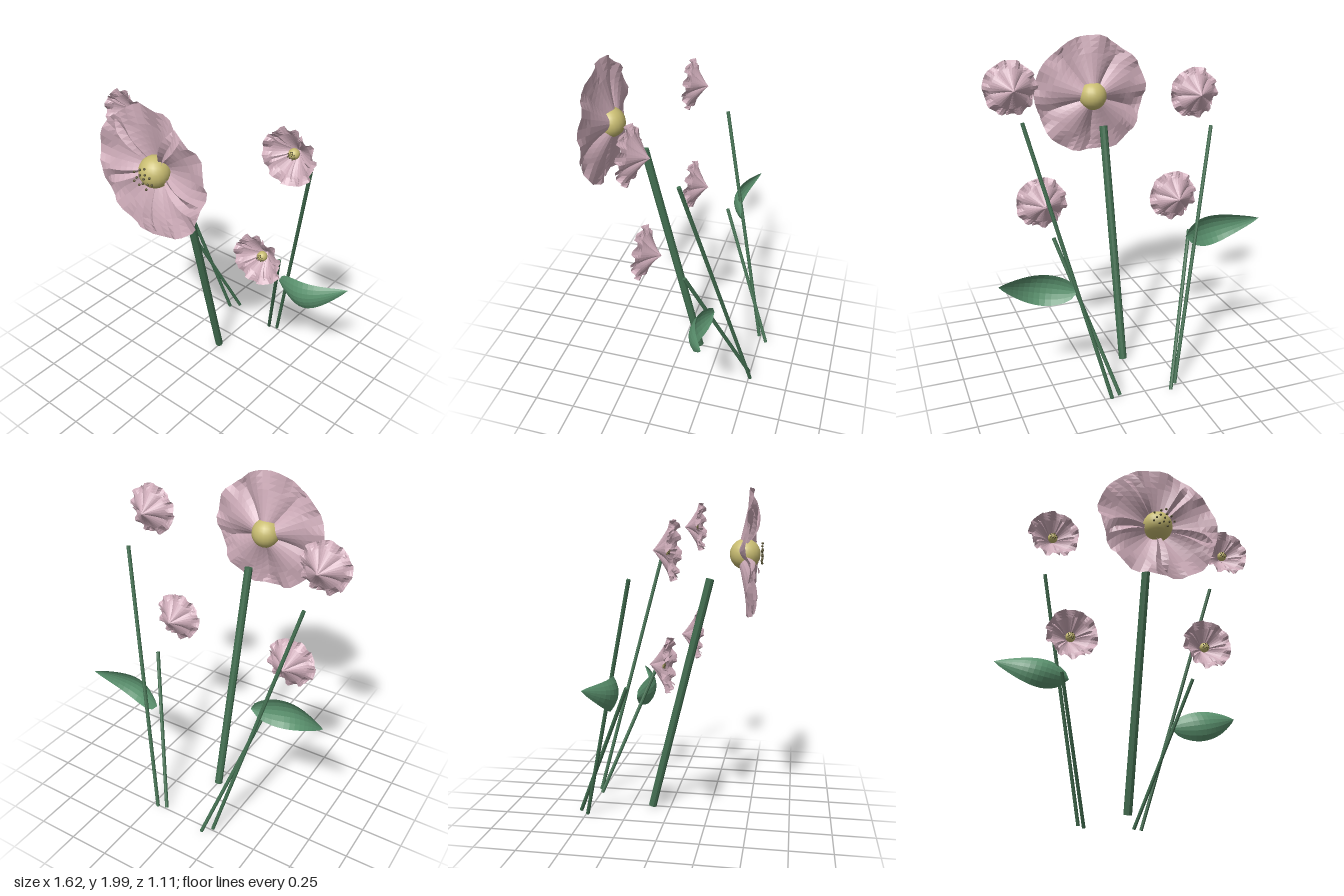
import * as THREE from 'three';

const mat = (color, extra = {}) => new THREE.MeshStandardMaterial({ color, ...extra });
const petalMat = mat(0xcfadba, { side: THREE.DoubleSide, flatShading: true });
const leafMat = mat(0x5c9470, { side: THREE.DoubleSide, flatShading: true });
const stemMat = mat(0x426e50, { flatShading: true });
const centreMat = mat(0xc9bd72);
const seedMat = mat(0x5c5636);

function add(parent, name, geometry, material, pos = [0, 0, 0]) {
  const mesh = new THREE.Mesh(geometry, material);
  mesh.name = name;
  mesh.position.set(...pos);
  parent.add(mesh);
  return mesh;
}

// Grid surface: fn(u in -1..1, v in 0..1) returns [x, y, z]
function surface(nu, nv, fn) {
  const pos = [], idx = [];
  for (let j = 0; j <= nv; j++)
    for (let i = 0; i <= nu; i++) pos.push(...fn((i / nu) * 2 - 1, j / nv));
  for (let j = 0; j < nv; j++)
    for (let i = 0; i < nu; i++) {
      const a = j * (nu + 1) + i, b = a + nu + 1;
      idx.push(a, a + 1, b, a + 1, b + 1, b);
    }
  const g = new THREE.BufferGeometry();
  g.setAttribute('position', new THREE.Float32BufferAttribute(pos, 3));
  g.setIndex(idx);
  g.computeVertexNormals();
  return g;
}

// Petal pointing up: a fan with edges cupped forward and a ruffled rim
function petalGeometry({ radius, depth, power, cup, ruffle, spread }) {
  return surface(10, 10, (u, v) => {
    const rim = Math.max(0, (v - 0.7) / 0.3);
    const wave = Math.sin(u * 8 + 0.6);
    const a = u * spread * (1 - 0.1 * rim) + rim * ruffle * 2 * wave;
    const r = radius * v * (1 - 0.07 * u * u * rim) - rim * ruffle * 0.3 * (1 + wave);
    const z = depth * v ** power + cup * u * u * Math.sin(Math.PI * Math.min(1, v * 0.9 + 0.02))
      + ruffle * rim * wave;
    return [r * Math.sin(a), r * Math.cos(a), z];
  });
}

// Five petals, a ball centre and a flat spiral of seeds in front of it
function flower(name, pos, petal, ball, ballZ, seedZ, seedR, turn) {
  const g = new THREE.Group();
  g.name = name;
  g.position.set(...pos);
  const geo = petalGeometry(petal);
  for (let i = 0; i < 5; i++) {
    const p = add(g, 'petal', geo, petalMat);
    p.rotation.z = turn + (i * Math.PI * 2) / 5;
  }
  add(g, 'flowerCentre', new THREE.SphereGeometry(ball, 20, 14), centreMat, [0, 0, ballZ]);
  const seedGeo = new THREE.SphereGeometry(seedR, 8, 6);
  for (let i = 0; i < 14; i++) {
    const r = ball * 0.8 * Math.sqrt((i + 0.3) / 14), a = i * 2.4;
    add(g, 'seed', seedGeo, seedMat, [r * Math.cos(a), r * Math.sin(a), seedZ]);
  }
  return g;
}

// Straight stem between two points
function stem(parent, name, from, to, radius, sides) {
  const a = new THREE.Vector3(...from), b = new THREE.Vector3(...to);
  const d = b.clone().sub(a);
  const m = add(parent, name, new THREE.CylinderGeometry(radius, radius, d.length(), sides), stemMat);
  m.position.copy(a).add(b).multiplyScalar(0.5);
  m.quaternion.setFromUnitVectors(new THREE.Vector3(0, 1, 0), d.normalize());
}

// Leaf arched forward along its length and across its width
function leaf(parent, name, base, tip, side) {
  const geo = surface(6, 14, (u, v) => {
    const w = 0.105 * Math.sin(Math.PI * v ** 0.8) ** 0.8 * (1 - 0.25 * v);
    const x = base[0] + (tip[0] - base[0]) * v;
    const y = base[1] + (tip[1] - base[1]) * v - 0.035 * Math.sin(Math.PI * v) + u * w;
    const z = base[2] + (tip[2] - base[2]) * v + 0.11 * Math.sin(Math.PI * v) - 0.4 * w * u * u;
    return [x - side * u * w * 0.25, y, z];
  });
  add(parent, name, geo, leafMat);
}

export function createModel() {
  const model = new THREE.Group();
  model.name = 'flowerBouquet';

  // Large bloom with its thick stem
  model.add(flower('largeFlower', [-0.005, 1.61, 0.39],
    { radius: 0.385, depth: 0.09, power: 0.8, cup: 0.07, ruffle: 0.014, spread: 0.78 },
    0.09, 0.055, 0.155, 0.007, 0));
  stem(model, 'mainStem', [-0.005, 0.006, -0.115], [-0.005, 1.46, 0.24], 0.025, 10);

  // Four small blooms: position of the back of each cup
  const small = { radius: 0.165, depth: 0.115, power: 0.85, cup: 0.028, ruffle: 0.018, spread: 0.76 };
  [
    [-0.56, 1.655, 0.0, 0.2], [-0.41, 1.015, -0.05, 0.5],
    [0.6, 1.755, -0.005, 0.1], [0.44, 1.05, 0.0, 0.35],
  ].forEach(([x, y, z, turn]) =>
    model.add(flower('smallFlower', [x, y, z], small, 0.03, 0.06, 0.087, 0.004, turn)));

  // Thin side stems
  [
    [[-0.2, 0.005, -0.49], [-0.56, 1.5, -0.13]],
    [[-0.15, 0.005, -0.545], [-0.41, 0.87, -0.185]],
    [[0.21, 0.005, -0.51], [0.595, 1.61, -0.148]],
    [[0.155, 0.005, -0.49], [0.435, 0.91, -0.13]],
  ].forEach(([a, b]) => stem(model, 'sideStem', a, b, 0.0115, 8));

  // One leaf on each side
  leaf(model, 'rightLeaf', [-0.34, 0.87, -0.29], [-0.81, 0.945, -0.33], -1);
  leaf(model, 'leftLeaf', [0.34, 0.62, -0.29], [0.81, 0.745, -0.33], 1);
  return model;
}
